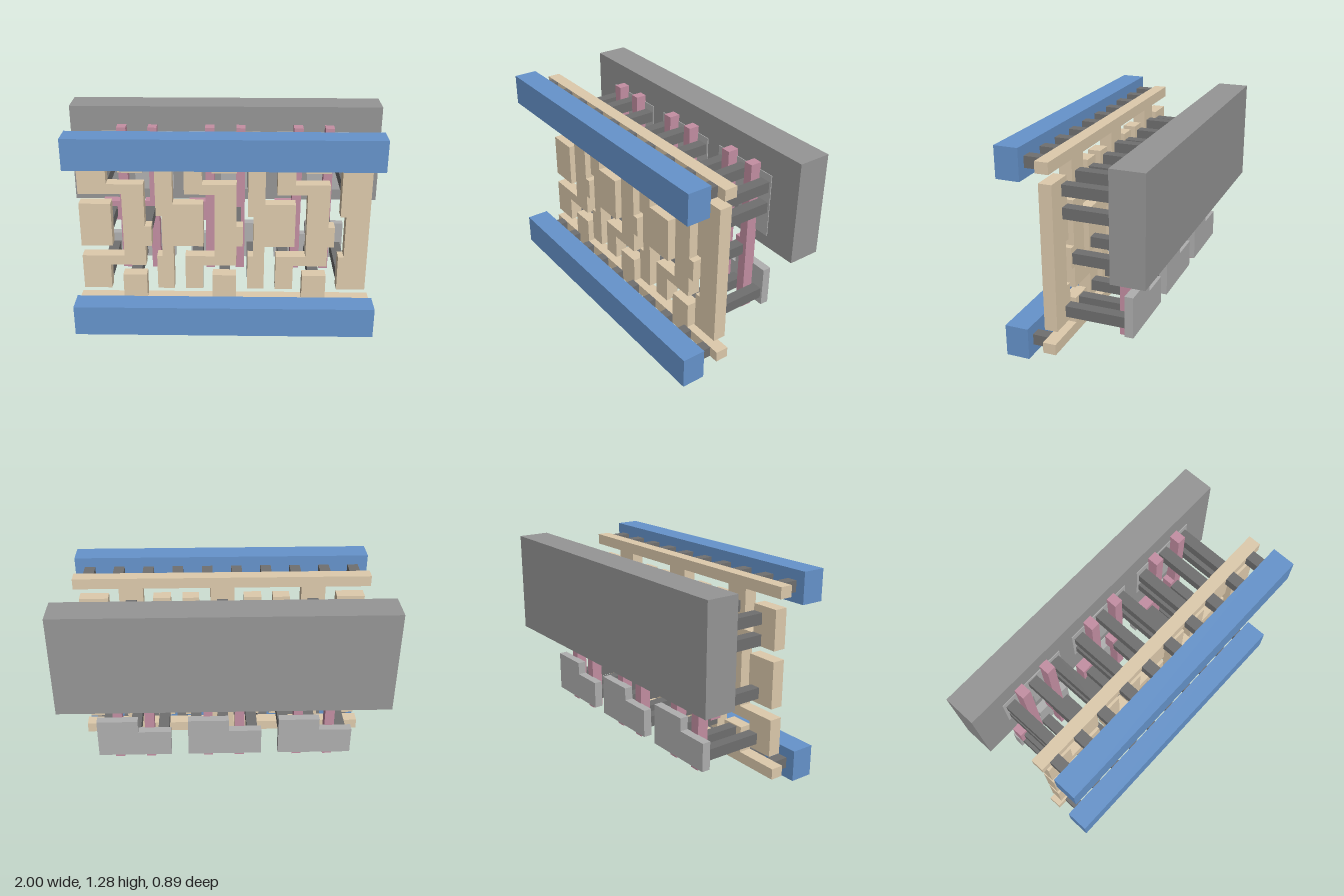
import * as THREE from 'three';

const mat = (color) => new THREE.MeshStandardMaterial({ color, flatShading: true });

export function createModel() {
  const root = new THREE.Group();
  const blue = mat(0x6694cc), tan = mat(0xdecbad), pink = mat(0xc48fa3);
  const dark = mat(0x707070), wellGrey = mat(0x969696), light = mat(0xb0b0b0);

  // box given by its limits on each axis
  const box = (name, m, x0, x1, y0, y1, z0, z1) => {
    const g = new THREE.BoxGeometry(x1 - x0, y1 - y0, z1 - z0);
    g.translate((x0 + x1) / 2, (y0 + y1) / 2, (z0 + z1) / 2);
    const mesh = new THREE.Mesh(g, m);
    mesh.name = name;
    root.add(mesh);
  };
  // flat plate with a stepped outline, between two depths
  const plate = (name, m, pts, z0, z1) => {
    const shape = new THREE.Shape(pts.map(([x, y]) => new THREE.Vector2(x, y)));
    const g = new THREE.ExtrudeGeometry(shape, { depth: z1 - z0, bevelEnabled: false });
    g.translate(0, 0, z0);
    const mesh = new THREE.Mesh(g, m);
    mesh.name = name;
    root.add(mesh);
  };
  const M0 = 0.13, M1 = 0.21;      // lower metal layer
  const G0 = -0.245, G1 = -0.175;  // gate layer
  const via = (x, y, zBack) => box('contactPost', dark, x - 0.034, x + 0.034, y - 0.034, y + 0.034, zBack, M0);

  // back slab
  box('well', wellGrey, -1, 1, 0.625, 1.265, -0.445, -0.245);

  // top and bottom power rails with their pegs
  for (const [y0, y1, r0, r1] of [[0, 0.195, 0.065, 0.132], [1.095, 1.285, 1.157, 1.225]]) {
    box('powerRail', blue, -0.923, 0.923, y0, y1, 0.305, 0.45);
    box('innerRail', tan, -0.923, 0.923, r0, r1, M0, M1);
    for (let i = 0; i < 10; i++) {
      const x = (i - 4.5) * 0.1845;
      box('railPeg', dark, x - 0.033, x + 0.033, r0, r1, M1, 0.305);
    }
  }

  // three repeated cells
  [-0.567, 0, 0.567].forEach((c, i) => {
    const first = i === 0, last = i === 2;
    const at = (pts) => pts.map(([x, y]) => [c + x, y]);

    // stepped diffusion plates, the upper one set into the well
    plate('lowerDiffusion', light, at([[-0.235, 0.195], [0.225, 0.195], [0.225, 0.45],
      [-0.03, 0.45], [-0.03, 0.37], [-0.235, 0.37]]), -0.295, -0.242);
    plate('upperDiffusion', light, at([[-0.235, 1.1], [-0.235, 0.83], [-0.03, 0.83],
      [-0.03, 0.7], [0.225, 0.7], [0.225, 1.1]]), -0.29, -0.24);

    // gate bars with widened contact pads
    plate('leftGate', pink, at([[-0.13, 0.145], [-0.07, 0.145], [-0.07, 1.145], [-0.13, 1.145],
      [-0.13, 0.635], [-0.24, 0.635], [-0.24, 0.5], [-0.13, 0.5]]), G0, G1);
    plate('rightGate', pink, at([[0.07, 0.145], [0.128, 0.145], [0.128, 1.145], [0.07, 1.145],
      [0.07, 0.635], [0.035, 0.635], [0.035, 0.5], [0.07, 0.5]]), G0, G1);

    // stubs tying the cell to the rails
    box('lowerStub', tan, c - 0.075, c + 0.075, 0.132, 0.295, M0, M1);
    box('upperStub', tan, c - 0.075, c + 0.075, 0.99, 1.157, M0, M1);

    // inner link between the two stages
    const L = first ? -0.325 : -0.245, S = first ? -0.15 : -0.135;
    plate('innerLink', tan, at([[L, 0.2], [S, 0.2], [S, 0.365], [0.075, 0.365], [0.075, 0.5],
      [0.115, 0.5], [0.115, 0.635], [0.075, 0.635], [0.075, 0.915], [S, 0.915],
      [S, 1.09], [L, 1.09], [L, 0.85], [-0.06, 0.85], [-0.06, 0.43], [L, 0.43]]), M0, M1);

    // input pad of the first cell; later cells are fed by the preceding column
    if (first) box('inputPad', tan, c - 0.325, c - 0.13, 0.5, 0.785, M0, M1);

    // output column
    const R = last ? 0.325 : 0.25, N = 0.437;
    const right = last ? [[R, 0.2], [R, 1.09]]
      : [[R, 0.2], [R, 0.5], [N, 0.5], [N, 0.785], [R, 0.785], [R, 1.09]];
    plate('outputColumn', tan, at([[0.145, 0.2], ...right, [0.145, 1.09], [0.145, 0.705],
      [0.18, 0.705], [0.18, 0.43], [0.145, 0.43]]), M0, M1);

    // contact posts to diffusion and gates
    via(c, 0.254, -0.242);
    via(c, 1.046, -0.24);
    via(c - 0.183, 0.275, -0.242);
    via(c - 0.183, 1.014, -0.24);
    via(c - 0.183, 0.887, -0.24);
    via(c + 0.177, 0.275, -0.242);
    via(c + 0.177, 1.022, -0.24);
    via(c + 0.177, 0.887, -0.24);
    via(c - 0.183, 0.565, G1);
    via(c + 0.07, 0.565, G1);
  });
  return root;
}
